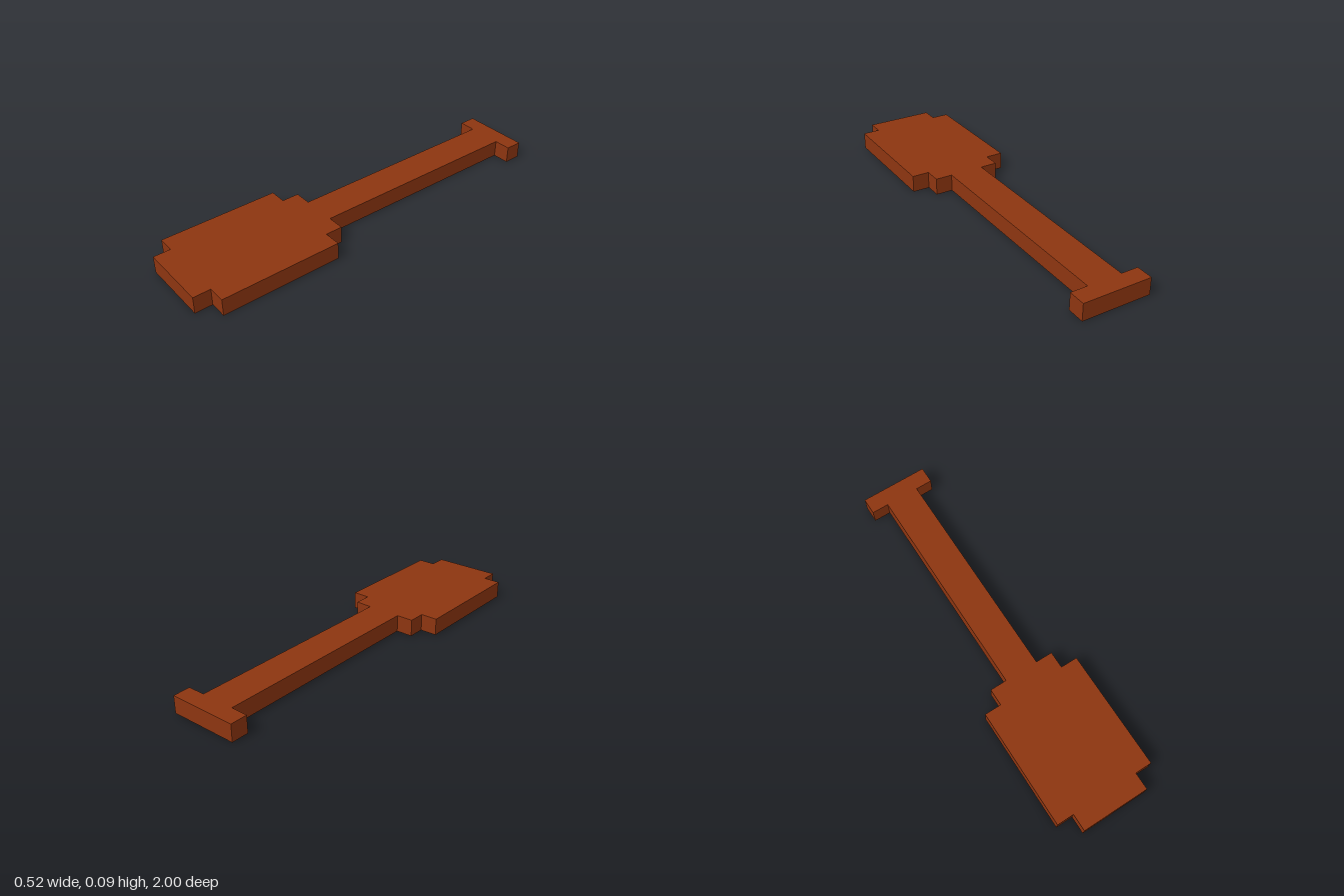
import * as THREE from 'three';

const U = 2 / 23; // one square of the blocky grid

export function createModel() {
  const model = new THREE.Group();
  model.name = 'paddle';
  const wood = new THREE.MeshStandardMaterial({ color: 0x8d3510 });
  wood.name = 'reddish brown wood';

  const add = (name, geometry) => {
    const mesh = new THREE.Mesh(geometry, wood);
    mesh.name = name;
    model.add(mesh);
  };

  // flat bar, one square thick, from z0 to z1 in squares
  const bar = (name, width, z0, z1) => add(name,
    new THREE.BoxGeometry(width * U, U, (z1 - z0) * U)
      .translate(0, U / 2, (z0 + z1) / 2 * U));

  bar('gripEnd', 4, -11.5, -10.5);
  bar('shaft', 2, -10.5, 2.5);

  // blade: rectangle with notched corners, mirrored about x = 0
  const half = [[2, 2.5], [2, 3.5], [3, 3.5], [3, 10.5], [2, 10.5], [2, 11.5]];
  const outline = [...half, ...half.map(([x, z]) => [-x, z]).reverse()];
  const shape = new THREE.Shape(outline.map(([x, z]) => new THREE.Vector2(x * U, -z * U)));
  add('blade', new THREE.ExtrudeGeometry(shape, { depth: U, bevelEnabled: false })
    .rotateX(-Math.PI / 2));

  return model;
}
